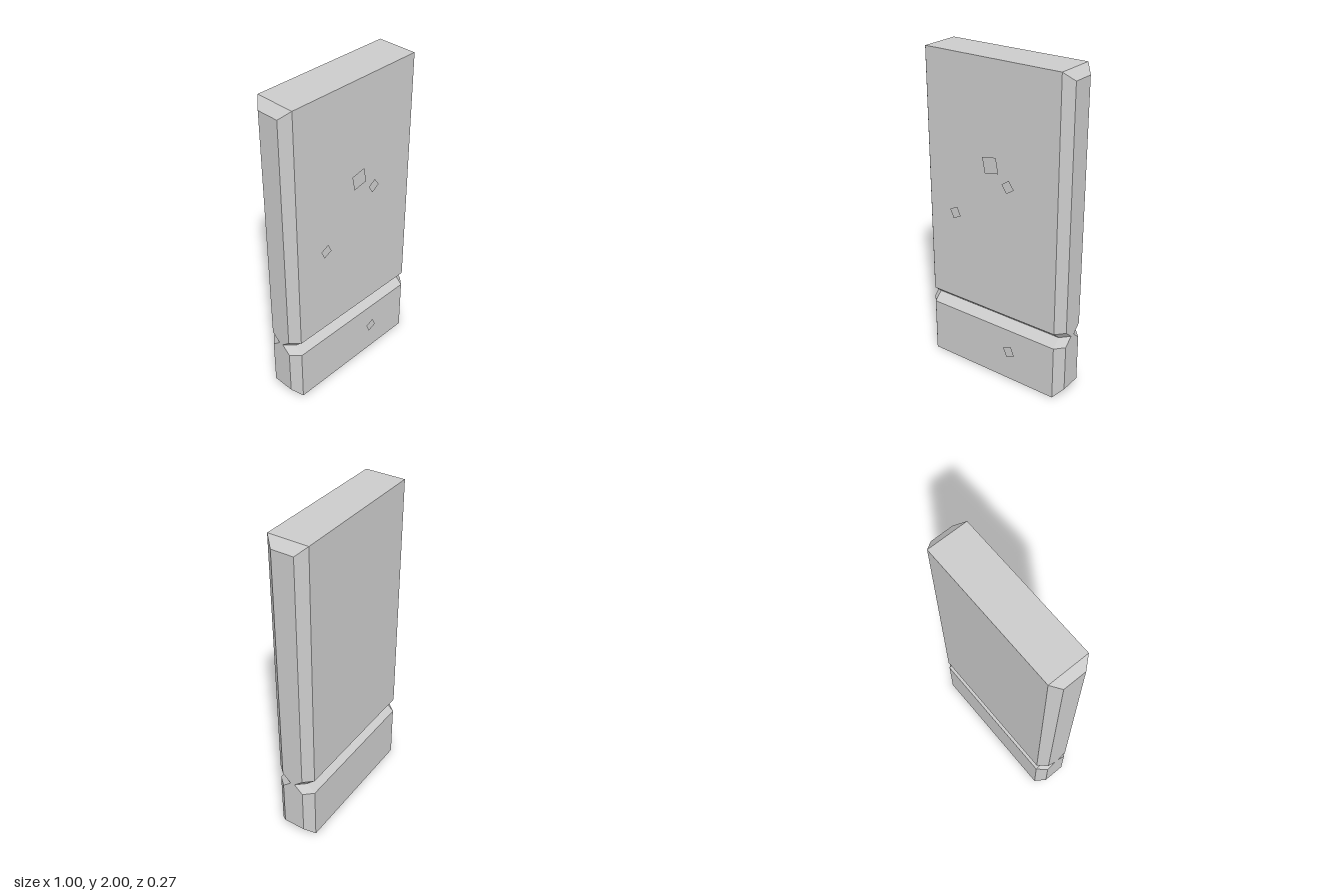
import * as THREE from 'three';

const CENTRE_Z = -0.009;
const material = new THREE.MeshStandardMaterial({ color: 0xcccccc, flatShading: true });

// One cross-section of the slab: up the front, then down the back, with a V groove on both.
function section(x, halfDepth, inset) {
  const rows = [
    [inset, halfDepth], [0.35, halfDepth], [0.4, halfDepth - 0.055],
    [0.45, halfDepth], [2 - inset, halfDepth],
  ];
  const front = rows.map(([y, d]) => new THREE.Vector3(x, y, CENTRE_Z + d));
  const back = rows.map(([y, d]) => new THREE.Vector3(x, y, CENTRE_Z - d)).reverse();
  return [...front, ...back];
}

function slabGeometry() {
  const rings = [
    section(-0.5, 0.069, 0.05), section(-0.45, 0.124, 0),
    section(0.45, 0.124, 0), section(0.5, 0.069, 0.05),
  ];
  const points = [];
  const quad = (a, b, c, d) => points.push(a, b, c, a, c, d);
  const n = rings[0].length;

  // Skin between neighbouring sections
  for (let i = 0; i < rings.length - 1; i++) {
    for (let j = 0; j < n; j++) {
      const k = (j + 1) % n;
      quad(rings[i][j], rings[i + 1][j], rings[i + 1][k], rings[i][k]);
    }
  }
  // End caps, joined front to back row by row
  const [left, right] = [rings[3], rings[0]];
  for (let j = 0; j < n / 2 - 1; j++) {
    const b = n - 1 - j;
    quad(left[j], left[b], left[b - 1], left[j + 1]);
    quad(right[j + 1], right[b - 1], right[b], right[j]);
  }
  const geometry = new THREE.BufferGeometry().setFromPoints(points);
  geometry.computeVertexNormals();
  return geometry;
}

export function createModel() {
  const group = new THREE.Group();
  group.name = 'stoneSlab';

  const slab = new THREE.Mesh(slabGeometry(), material);
  slab.name = 'slab';
  group.add(slab);

  // Thin square chips just in front of the face: x, y, size, turn in degrees
  const chipMaterial = material.clone();
  chipMaterial.side = THREE.DoubleSide;
  const chips = [
    [0.01, 1.4, 0.095, 11], [0.13, 1.3, 0.06, 34],
    [-0.25, 1.04, 0.06, 25], [0.14, 0.21, 0.062, 23],
  ];
  chips.forEach(([x, y, size, turn], i) => {
    const chip = new THREE.Mesh(new THREE.PlaneGeometry(size, size), chipMaterial);
    chip.name = `surfaceChip${i + 1}`;
    chip.position.set(x, y, 0.133);
    chip.rotation.z = THREE.MathUtils.degToRad(turn);
    group.add(chip);
  });
  return group;
}
